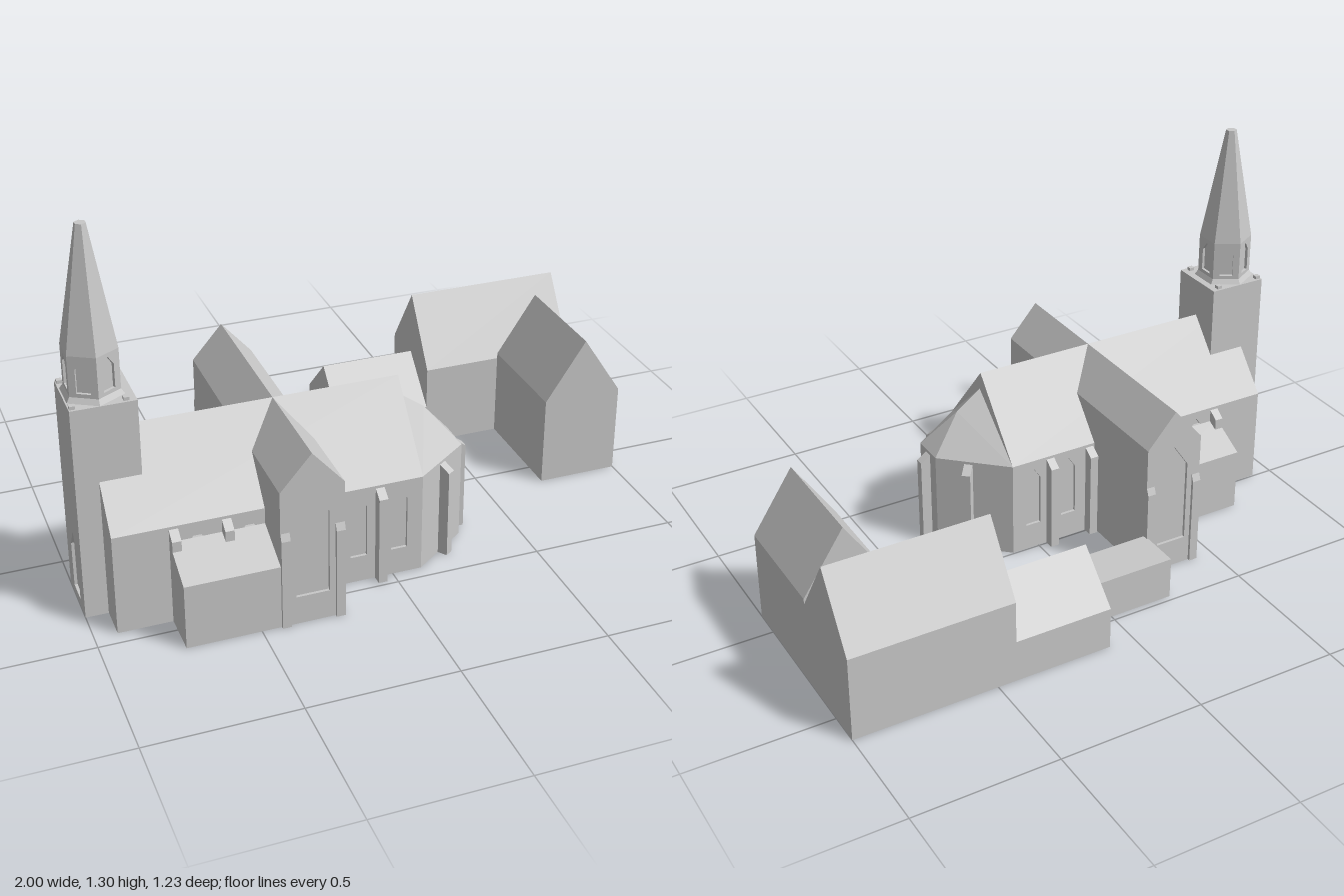
import * as THREE from 'three';

const stone = new THREE.MeshStandardMaterial({ color: 0xc8c8c8 });
stone.name = 'paleStone';

const MID_Z = 0.2275; // centre line of the church

export function createModel() {
  const model = new THREE.Group();
  model.name = 'churchAndOutbuildings';

  const add = (name, geometry, parent = model) => {
    const mesh = new THREE.Mesh(geometry, stone);
    mesh.name = name;
    parent.add(mesh);
    return mesh;
  };
  const polygon = (points) => new THREE.Shape(points.map(([x, y]) => new THREE.Vector2(x, y)));
  const extrude = (shape, depth) => new THREE.ExtrudeGeometry(shape, { depth, bevelEnabled: false });
  const box = (name, x0, x1, y0, y1, z0, z1) =>
    add(name, new THREE.BoxGeometry(x1 - x0, y1 - y0, z1 - z0)
      .translate((x0 + x1) / 2, (y0 + y1) / 2, (z0 + z1) / 2));

  // House-shaped outline around u = 0
  const gablePoints = (width, base, eave, ridge) => [
    [-width / 2, base], [width / 2, base], [width / 2, eave], [0, ridge], [-width / 2, eave],
  ];
  const gableAlongX = (name, x0, x1, z0, z1, base, eave, ridge) =>
    add(name, extrude(polygon(gablePoints(z1 - z0, base, eave, ridge)), x1 - x0)
      .rotateY(Math.PI / 2).translate(x0, 0, (z0 + z1) / 2));
  const gableAlongZ = (name, x0, x1, z0, z1, base, eave, ridge) =>
    add(name, extrude(polygon(gablePoints(x1 - x0, base, eave, ridge)), z1 - z0)
      .translate((x0 + x1) / 2, 0, z0));

  // Pointed window opening
  const lancet = (cx, width, sill, spring, peak) => polygon([
    [cx - width / 2, sill], [cx + width / 2, sill], [cx + width / 2, spring],
    [cx, peak], [cx - width / 2, spring],
  ]);
  const pierced = (points, holes, depth) => {
    const shape = polygon(points);
    shape.holes.push(...holes);
    return extrude(shape, depth);
  };

  // Buttress with a sloping cap, pointing along (nx, nz)
  const buttress = (x, z, nx, nz, depth = 0.035, top = 0.34) => {
    const profile = polygon([[-0.01, 0], [depth, 0], [depth, top - 0.025], [0, top], [-0.01, top]]);
    const mesh = add('buttress', extrude(profile, 0.03).translate(0, 0, -0.015));
    mesh.position.set(x, 0, z);
    mesh.rotation.y = Math.atan2(-nz, nx);
  };

  // Nave: inset core, pierced side walls and roof
  box('naveCore', -0.925, 0.1, 0, 0.345, 0.015, 0.44);
  gableAlongX('naveRoof', -0.925, 0.1, 0.005, 0.45, 0.34, 0.35, 0.61);
  const wall = [[-0.925, 0], [0.1, 0], [0.1, 0.34], [-0.925, 0.34]];
  const naveWindows = [-0.655, -0.485, -0.12, 0.02].map((x) => lancet(x, 0.056, 0.095, 0.28, 0.322));
  for (const z of [0.005, 0.44]) {
    add('naveWall', pierced(wall, naveWindows, 0.01).translate(0, 0, z));
  }

  // Transept with a tall window in each gable
  gableAlongZ('transept', -0.435, -0.225, -0.32, 0.59, 0, 0.49, 0.61);
  for (const z of [-0.33, 0.59]) {
    add('transeptGable', pierced(gablePoints(0.21, 0, 0.49, 0.61),
      [lancet(0, 0.11, 0.1, 0.395, 0.475)], 0.01).translate(-0.33, 0, z));
  }

  // Both long sides: lean-to aisle and buttresses
  for (const side of [-1, 1]) {
    const wallZ = MID_Z + side * 0.2225;
    const endZ = side > 0 ? 0.6 : -0.13;
    const depth = Math.abs(endZ - wallZ);
    const aisle = extrude(polygon([[-0.02, 0], [depth, 0], [depth, 0.225], [0, 0.295], [-0.02, 0.295]]), 0.32);
    const mesh = add('aisle', aisle.translate(0, 0, -0.16));
    mesh.position.set(-0.585, 0, wallZ);
    mesh.rotation.y = -side * Math.PI / 2;
    for (const x of [-0.73, -0.56, -0.205, -0.048]) buttress(x, wallZ, 0, side);
    for (const x of [-0.42, -0.24]) buttress(x, side > 0 ? 0.6 : -0.33, 0, side, 0.01, 0.345);
  }

  // Apse: faceted walls, hipped roof and buttresses
  const eaves = [[0.1, 0.005], [0.3, 0.19], [0.3, 0.305], [0.1, 0.45]];
  add('apseWalls', extrude(polygon(eaves.map(([x, z]) => [x, -z])), 0.35).rotateX(-Math.PI / 2));
  const [e0, e1, e2, e3] = eaves.map(([x, z]) => [x, 0.35, z]);
  const apex = [0.1, 0.545, 0.235];
  const hip = [0.19, 0.48, 0.235];
  const roof = new THREE.BufferGeometry();
  roof.setAttribute('position', new THREE.Float32BufferAttribute([
    apex, e3, hip, hip, e3, e2, hip, e2, e1, hip, e1, e0, apex, hip, e0,
  ].flat(), 3));
  roof.computeVertexNormals();
  add('apseRoof', roof);
  buttress(0.215, 0.11, 0.185, -0.2);
  buttress(0.3, 0.247, 1, 0);
  buttress(0.2, 0.3775, 0.145, 0.2);

  // Tower with a recessed west portal
  box('towerCore', -0.99, -0.79, 0, 0.745, 0.125, 0.335);
  add('towerWestWall', pierced([[-0.105, 0], [0.105, 0], [0.105, 0.745], [-0.105, 0.745]],
    [lancet(0, 0.085, 0.03, 0.19, 0.26)], 0.01).rotateY(Math.PI / 2).translate(-1, 0, 0.23));

  // Six-sided belfry and spire
  const spire = new THREE.Group();
  spire.name = 'spire';
  spire.position.set(-0.905, 0, 0.23);
  model.add(spire);
  const hexagon = (name, rTop, rBottom, y0, y1) =>
    add(name, new THREE.CylinderGeometry(rTop, rBottom, y1 - y0, 6).toNonIndexed()
      .translate(0, (y0 + y1) / 2, 0), spire).geometry.computeVertexNormals();
  hexagon('spireSkirt', 0.09, 0.104, 0.745, 0.765);
  hexagon('belfryCore', 0.081, 0.081, 0.76, 0.9);
  hexagon('spireRoof', 0.0185, 0.092, 0.9, 1.3);
  const half = 0.046;
  for (let i = 0; i < 6; i++) {
    const panel = pierced([[-half, 0.758], [half, 0.758], [half, 0.9], [-half, 0.9]],
      [lancet(0, 0.046, 0.775, 0.855, 0.887)], 0.0095).translate(0, 0, 0.0702);
    add('belfryWall', panel, spire).rotation.y = Math.PI / 6 + i * Math.PI / 3;
  }
  for (const sx of [-1, 1]) {
    for (const sz of [-1, 1]) {
      add('cornerStone', new THREE.BoxGeometry(0.018, 0.012, 0.018)
        .translate(sx * 0.083, 0.75, sz * 0.088), spire);
    }
  }

  // Linked outbuildings behind and to the left
  box('flatPassage', -0.23, 0.09, 0, 0.15, -0.48, -0.32);
  gableAlongX('lowLink', 0.09, 0.435, -0.615, -0.3, 0, 0.15, 0.305);
  gableAlongX('hall', 0.435, 1, -0.615, -0.3, 0, 0.3, 0.535);
  gableAlongZ('hallWing', 0.715, 1, -0.3, 0.1, 0, 0.32, 0.535);

  return model;
}
